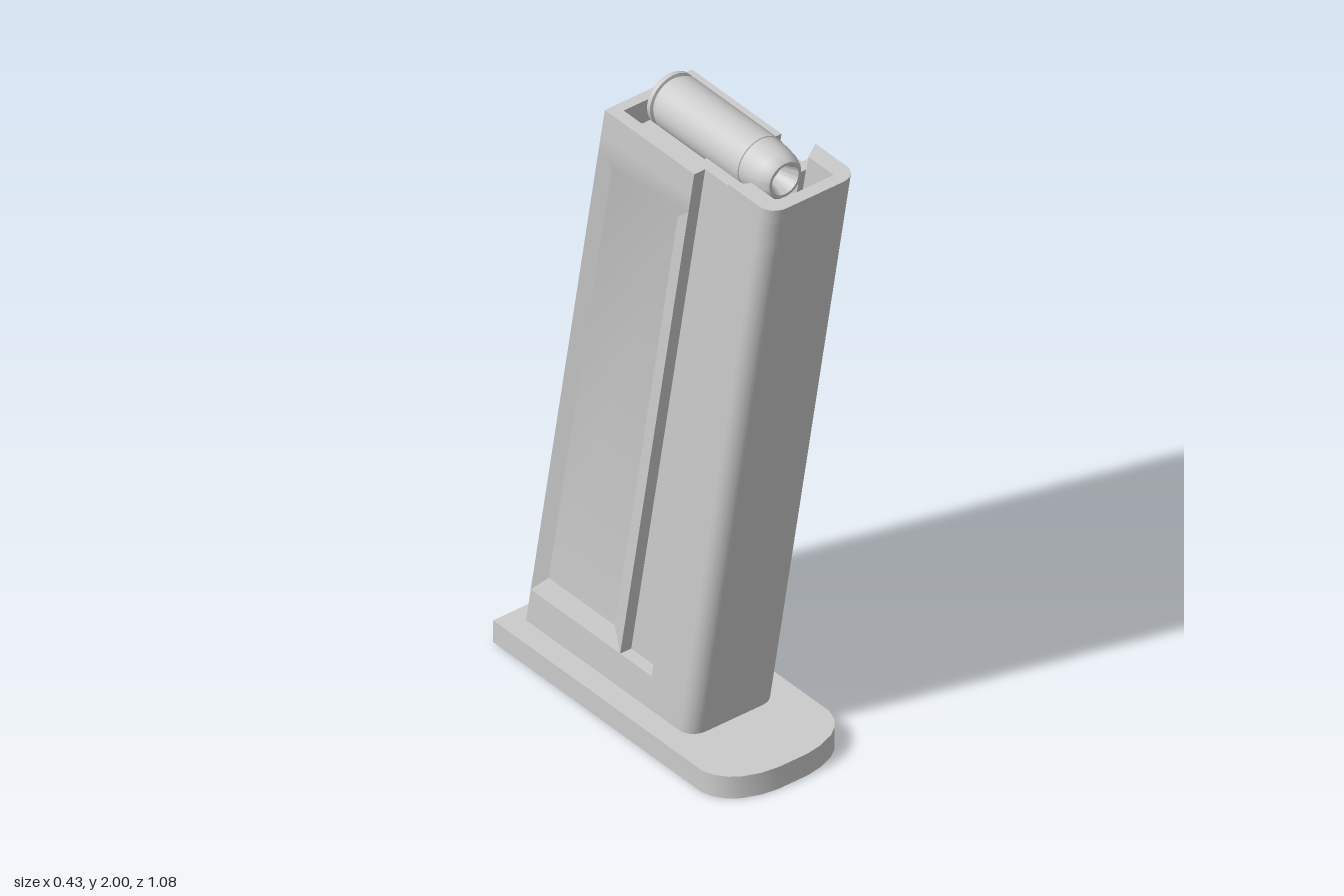
import * as THREE from 'three';
import { toCreasedNormals } from 'three/addons/utils/BufferGeometryUtils.js';

const CREASE = 0.3;
const W = 0.147;        // half width of the body
const GROOVE = 0.11;    // half width inside the side grooves
const BASE = 0.07;      // height of the floor plate
const lean = y => 0.181 * (y - BASE);   // forward lean of the body

const mirror = half => [...half, ...half.map(([x, z]) => [-x, z]).reverse()];

function addMesh(group, name, geometry, crease = CREASE) {
  const material = new THREE.MeshStandardMaterial({ color: 0xcccccc });
  const mesh = new THREE.Mesh(toCreasedNormals(geometry, crease), material);
  mesh.name = name;
  group.add(mesh);
  return mesh;
}

// Upright slab from an [x, z] outline, optionally hollow and leaning
function slab(outline, y0, y1, hole, leaning = true) {
  const toPoints = list => list.map(([x, z]) => new THREE.Vector2(x, -z));
  const shape = new THREE.Shape(toPoints(outline));
  if (hole) shape.holes.push(new THREE.Path(toPoints(hole)));
  const geo = new THREE.ExtrudeGeometry(shape, { depth: y1 - y0, bevelEnabled: false });
  geo.rotateX(-Math.PI / 2).translate(0, y0, 0);
  if (leaning) {
    const p = geo.attributes.position;
    for (let i = 0; i < p.count; i++) p.setZ(i, p.getZ(i) + lean(p.getY(i)));
  }
  return geo;
}

// Rounded front corner, from the front face round to the side
const frontCorner = [];
for (let i = 0; i <= 6; i++) {
  const a = (i / 6) * Math.PI / 2;
  frontCorner.push([W - 0.05 + 0.05 * Math.sin(a), 0.153 + 0.05 * Math.cos(a)]);
}

// Body cross-section with groove width and panel recess
const section = (grooveX, recess) => mirror([
  ...frontCorner,
  [W, 0.02], [grooveX, 0.02], [grooveX, -0.112], [W, -0.112],
  [W - recess, -0.168], [W - recess, -0.445], [W, -0.487],
]);

// Skin between cross-sections; folds follow the recessed diagonal
function loft(levels) {
  const pos = [];
  for (let k = 0; k + 1 < levels.length; k++) {
    const [y0, lower] = levels[k], [y1, upper] = levels[k + 1];
    const n = lower.length;
    for (let i = 0; i < n; i++) {
      const j = (i + 1) % n;
      const at = ([x, z], y) => [x, y, z + lean(y)];
      const a = at(lower[i], y0), b = at(lower[j], y0);
      const c = at(upper[j], y1), d = at(upper[i], y1);
      const depthAC = Math.abs(a[0]) + Math.abs(c[0]);
      const depthBD = Math.abs(b[0]) + Math.abs(d[0]);
      const tris = depthAC <= depthBD ? [a, b, c, a, c, d] : [a, b, d, b, c, d];
      pos.push(...tris.flat());
    }
  }
  const geo = new THREE.BufferGeometry();
  geo.setAttribute('position', new THREE.Float32BufferAttribute(pos, 3));
  geo.computeVertexNormals();
  return geo;
}

export function createModel() {
  const group = new THREE.Group();

  // Floor plate with a rounded front
  const plate = mirror([
    [0.05, 0.449], [0.1, 0.441], [0.15, 0.422], [0.18, 0.4],
    [0.203, 0.37], [0.215, 0.335], [0.215, -0.54],
  ]);
  addMesh(group, 'floorPlate', slab(plate, 0, BASE, null, false), 0.5);

  // Leaning body with side grooves and recessed side panels
  const plain = section(W, 0), grooved = section(GROOVE, 0), panelled = section(GROOVE, 0.018);
  addMesh(group, 'body', loft([
    [BASE, plain], [0.18, plain], [0.18, grooved], [0.238, panelled],
    [1.7, panelled], [1.76, grooved], [1.81, grooved],
  ]));

  // Open mouth, narrowed where the grooves run
  const mouth = mirror([
    [GROOVE - 0.015, 0.163], [GROOVE - 0.015, 0.055], [0.075, 0.055],
    [0.075, -0.15], [GROOVE, -0.15], [GROOVE, -0.454],
  ]);
  addMesh(group, 'mouthWalls', slab(grooved, 1.81, 1.895, mouth));
  addMesh(group, 'follower', slab(mouth, 1.79, 1.812));

  // Taller front lip with angled ends
  const lip = [
    ...mirror([...frontCorner, [W, 0.022], [GROOVE - 0.015, 0.057], [GROOVE - 0.015, 0.163]]),
  ];
  addMesh(group, 'frontLip', slab(lip, 1.895, 1.942));

  // Round lying in the mouth, with a hollow nose
  const profile = [
    [0, -0.08], [0.06, -0.08], [0.062, -0.07], [0.076, -0.068], [0.079, -0.064],
    [0.079, -0.052], [0.07, -0.05], [0.07, -0.042], [0.079, -0.035],
    [0.079, 0.315], [0.076, 0.316], [0.074, 0.35], [0.069, 0.385], [0.061, 0.408],
    [0.053, 0.417], [0.045, 0.417], [0.036, 0.395], [0.028, 0.36], [0, 0.35],
  ].map(([r, z]) => new THREE.Vector2(r, z));
  const round = addMesh(group, 'round', new THREE.LatheGeometry(profile, 40), 0.45);
  round.rotation.x = Math.PI / 2;
  round.position.y = 1.921;

  return group;
}
